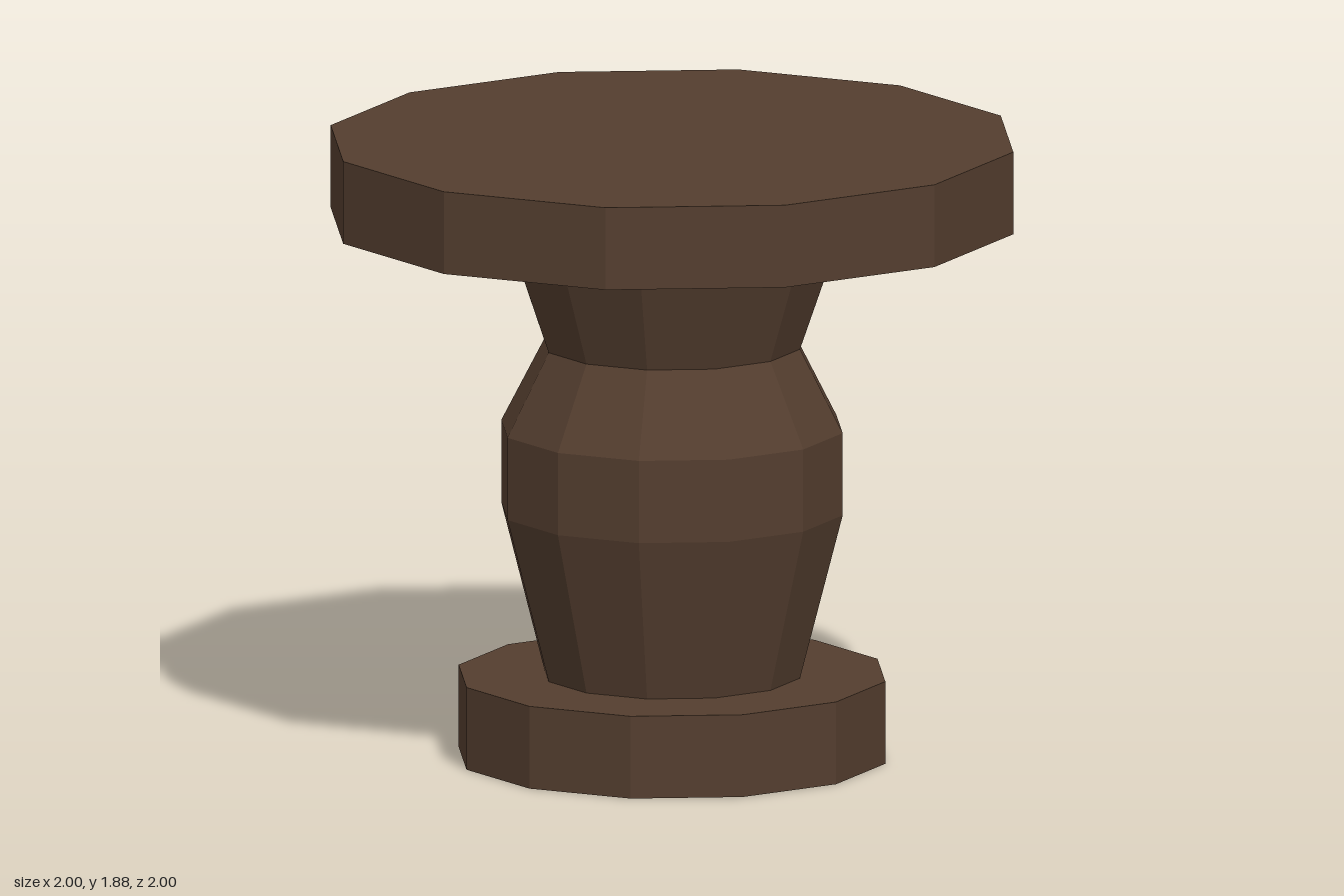
import * as THREE from 'three';

const SIDES = 12;
// Profile radii are measured to the middle of each flat side
const toCorner = 1 / Math.cos(Math.PI / SIDES);

export function createModel() {
  const group = new THREE.Group();
  const darkWood = new THREE.MeshStandardMaterial({ color: 0x543e2f });
  darkWood.name = 'darkWood';

  // Twelve-sided section between two heights, with faceted normals
  function section(name, y0, y1, r0, r1, open) {
    const indexed = new THREE.CylinderGeometry(
      r1 * toCorner, r0 * toCorner, y1 - y0, SIDES, 1, open, Math.PI / SIDES);
    const geometry = indexed.toNonIndexed();
    geometry.computeVertexNormals();
    const mesh = new THREE.Mesh(geometry, darkWood);
    mesh.name = name;
    mesh.position.y = (y0 + y1) / 2;
    group.add(mesh);
  }

  // Base and table top
  section('base', 0, 0.25, 0.625, 0.625, false);
  section('tableTop', 1.625, 1.875, 1, 1, false);

  // Turned pedestal, from the base up to the top
  section('lowerPedestal', 0.25, 0.75, 0.375, 0.5, true);
  section('pedestalBelly', 0.75, 1, 0.5, 0.5, true);
  section('pedestalShoulder', 1, 1.25, 0.5, 0.375, true);
  section('pedestalNeck', 1.25, 1.625, 0.375, 0.5, true);

  return group;
}
